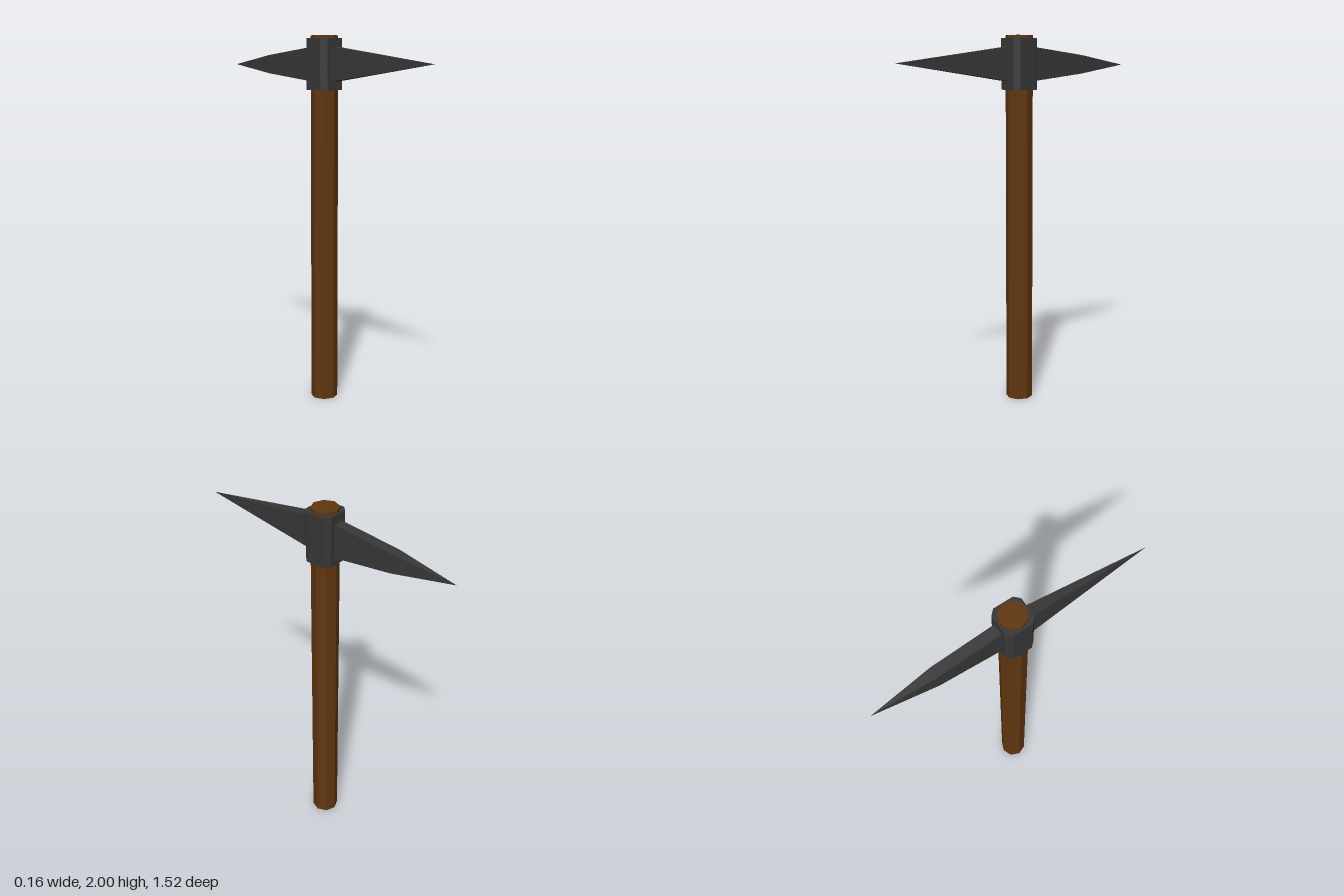
import * as THREE from 'three';

const wood = new THREE.MeshStandardMaterial({ color: 0x60360f, flatShading: true });
wood.name = 'wood';
const iron = new THREE.MeshStandardMaterial({ color: 0x373737, flatShading: true });
iron.name = 'iron';

const HEAD_Y = 1.85;

// Pointed bar along +z: rectangular sections [z, halfWidth, halfHeight], closed by a single tip
function spikeGeometry(sections, tipZ) {
  const points = [];
  const index = [];
  for (const [z, w, h] of sections) points.push(-w, -h, z, w, -h, z, w, h, z, -w, h, z);
  points.push(0, 0, tipZ);
  const tip = sections.length * 4;
  sections.forEach((_, s) => {
    for (let i = 0; i < 4; i++) {
      const a = s * 4 + i;
      const b = s * 4 + ((i + 1) % 4);
      if (s === sections.length - 1) index.push(a, b, tip);
      else index.push(a, b, b + 4, a, b + 4, a + 4);
    }
  });
  const geometry = new THREE.BufferGeometry();
  geometry.setAttribute('position', new THREE.Float32BufferAttribute(points, 3));
  geometry.setIndex(index);
  const flat = geometry.toNonIndexed();
  flat.computeVertexNormals();
  return flat;
}

function addMesh(group, name, geometry, material, y) {
  const mesh = new THREE.Mesh(geometry, material);
  mesh.name = name;
  mesh.position.y = y;
  group.add(mesh);
  return mesh;
}

export function createModel() {
  const group = new THREE.Group();
  group.name = 'pickaxe';

  // Octagonal wooden shaft
  addMesh(group, 'handle', new THREE.CylinderGeometry(0.073, 0.073, 2, 8), wood, 1);

  // Square iron collar with chamfered corners
  const r = 0.08, c = 0.053;
  const outline = new THREE.Shape([
    [r, -c], [r, c], [c, r], [-c, r], [-r, c], [-r, -c], [-c, -r], [c, -r],
  ].map(([x, y]) => new THREE.Vector2(x, y)));
  const collar = new THREE.ExtrudeGeometry(outline, { depth: 0.27, bevelEnabled: false });
  collar.rotateX(-Math.PI / 2);
  addMesh(group, 'collar', collar, iron, 1.715);

  // Front pick tapers evenly to its point
  addMesh(group, 'frontPick', spikeGeometry([[0.07, 0.031, 0.091]], 0.758), iron, HEAD_Y);

  // Back pick keeps its width, then narrows to its point
  const back = spikeGeometry([[0.07, 0.03, 0.091], [0.42, 0.03, 0.051]], 0.758);
  addMesh(group, 'backPick', back, iron, HEAD_Y).rotation.y = Math.PI;

  return group;
}
